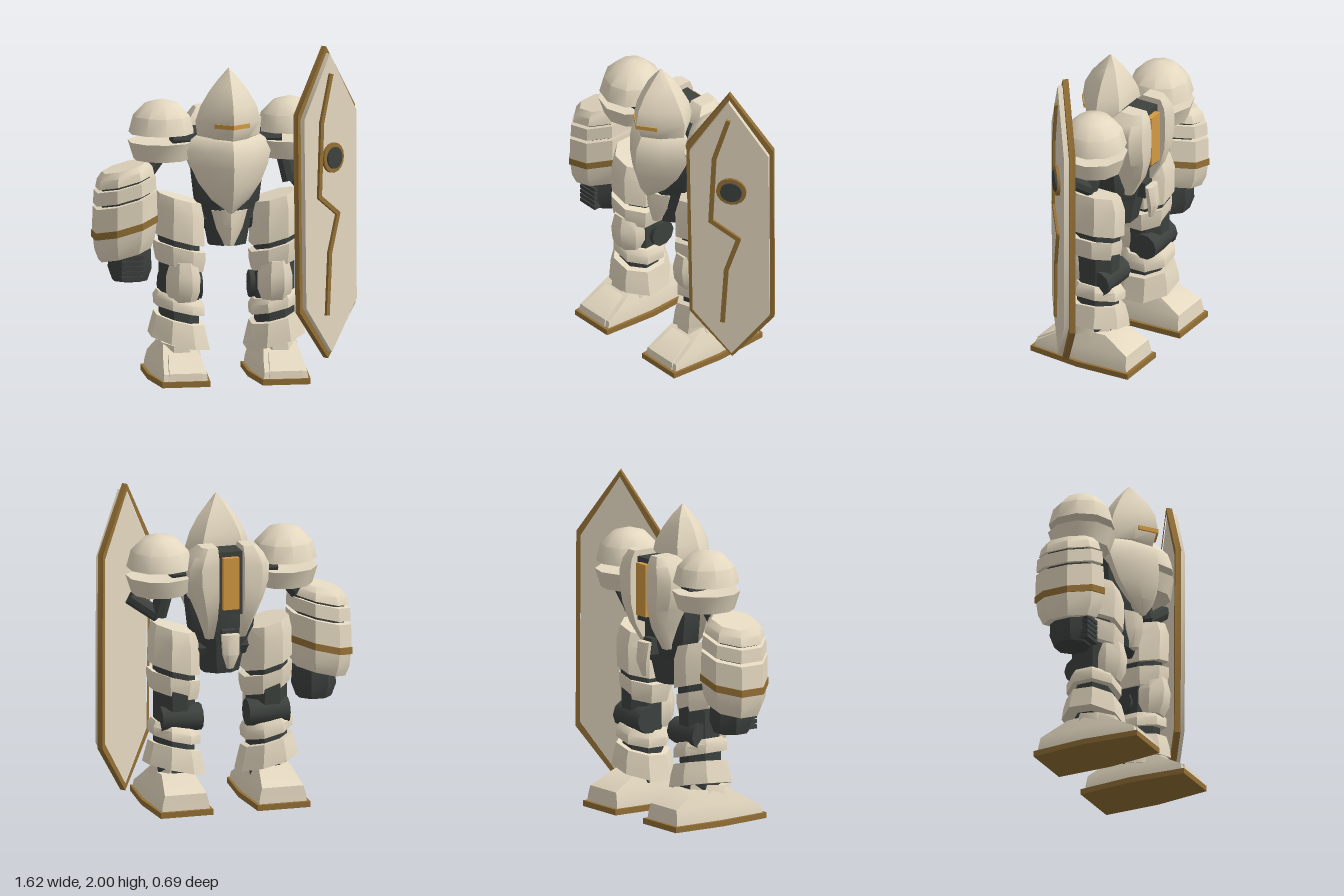
import * as THREE from 'three';
import { toCreasedNormals } from 'three/addons/utils/BufferGeometryUtils.js';

const paint = (color) => new THREE.MeshStandardMaterial({ color });
const IVORY = paint(0xe4d8c0), DARK = paint(0x3d423f), GOLD = paint(0x947036), AMBER = paint(0xd29a42);
const CREASE = 0.66;

function add(parent, name, geometry, material) {
  const mesh = new THREE.Mesh(toCreasedNormals(geometry, CREASE), material);
  mesh.name = name;
  parent.add(mesh);
  return mesh;
}

// Skin over a stack of rings, each listed from +z round towards +x, bottom to top
function loft(rings) {
  const pos = [], n = rings[0].length;
  const tri = (...pts) => pts.forEach((p) => pos.push(...p));
  const centre = (r) => [0, 1, 2].map((k) => r.reduce((s, p) => s + p[k], 0) / n);
  const low = rings[0], high = rings[rings.length - 1], cl = centre(low), ch = centre(high);
  for (let j = 0; j < n; j++) {
    const k = (j + 1) % n;
    for (let i = 0; i < rings.length - 1; i++) {
      const a = rings[i], b = rings[i + 1];
      tri(a[j], a[k], b[k]);
      tri(a[j], b[k], b[j]);
    }
    tri(cl, low[k], low[j]);
    tri(ch, high[j], high[k]);
  }
  const g = new THREE.BufferGeometry();
  g.setAttribute('position', new THREE.Float32BufferAttribute(pos, 3));
  return g;
}

// Eight-sided shell; rows are [y, half width, half depth, z shift], tilts slope it in x and z
function octagon(rows, cx, cz, tilt = 0, tiltZ = 0) {
  return loft(rows.map(([y, rx, rz, dz = 0]) => Array.from({ length: 8 }, (_, i) => {
    const a = (i + 0.5) * Math.PI / 4, k = 1 / Math.cos(Math.PI / 8);
    const x = Math.sin(a) * rx * k, z = Math.cos(a) * rz * k;
    return [cx + x, y + x * tilt + z * tiltZ, cz + dz + z];
  })));
}

// Prow-shaped shell; rows are [y, half width, front z, side z, back z]
const prow = (rows) => loft(rows.map(([y, w, zf, zs, zb]) => {
  const zm = zs + 0.6 * (zf - zs);
  return [[0, y, zf], [0.58 * w, y, zm], [w, y, zs], [0.65 * w, y, zb],
    [-0.65 * w, y, zb], [-w, y, zs], [-0.58 * w, y, zm]];
}));

// Six-sided foot shell; rows are [y, front, middle, back half widths, front z, back z]
const footShell = (rows, cx) => loft(rows.map(([y, wf, wm, wb, zf, zb]) => {
  const zm = (zf + zb) / 2;
  return [[wf, zf], [wm, zm], [wb, zb], [-wb, zb], [-wm, zm], [-wf, zf]].map(([x, z]) => [cx + x, y, z]);
}));

const box = (w, h, d, x, y, z) => new THREE.BoxGeometry(w, h, d).translate(x, y, z);

function rod(a, b, r, sides = 8) {
  const p = new THREE.Vector3(...a), q = new THREE.Vector3(...b), d = q.clone().sub(p);
  const turn = new THREE.Quaternion().setFromUnitVectors(new THREE.Vector3(0, 1, 0), d.clone().normalize());
  return new THREE.CylinderGeometry(r, r, d.length(), sides).applyQuaternion(turn)
    .translate(...p.add(q).multiplyScalar(0.5).toArray());
}

// Mirrored copy of a group of parts across x = 0
function mirrored(group, name) {
  const out = new THREE.Group();
  out.name = name;
  for (const mesh of group.children) {
    const g = new THREE.BufferGeometry(), p = mesh.geometry.attributes.position, pos = [];
    for (let i = 0; i < p.count; i += 3)
      for (const j of [i, i + 2, i + 1]) pos.push(-p.getX(j), p.getY(j), p.getZ(j));
    g.setAttribute('position', new THREE.Float32BufferAttribute(pos, 3));
    add(out, mesh.name, g, mesh.material);
  }
  return out;
}

function makeLeg() {
  const leg = new THREE.Group(), x = 0.29;
  leg.name = 'leftLeg';
  add(leg, 'legCore', octagon([[0.15, 0.115, 0.115], [0.5, 0.115, 0.12], [0.7, 0.115, 0.125], [0.95, 0.12, 0.135]], x, -0.03), DARK);
  add(leg, 'thighArmor', octagon([[0.845, 0.145, 0.16], [1.02, 0.14, 0.165], [1.1, 0.125, 0.14]], x, -0.02, 0.28), IVORY);
  add(leg, 'lowerThighArmor', octagon([[0.685, 0.135, 0.14], [0.75, 0.148, 0.152], [0.805, 0.15, 0.152]], x, -0.01, 0.27), IVORY);
  add(leg, 'kneeCap', octagon([[0.48, 0.08, 0.08], [0.54, 0.1, 0.11], [0.63, 0.1, 0.12], [0.72, 0.08, 0.1]], x - 0.01, 0.05), IVORY);
  add(leg, 'kneeJoint', rod([0.145, 0.55, -0.09], [0.4, 0.55, -0.09], 0.083, 10), DARK);
  add(leg, 'upperShinArmor', octagon([[0.415, 0.145, 0.155], [0.47, 0.148, 0.155], [0.505, 0.13, 0.13]], x, -0.03, 0.25), IVORY);
  add(leg, 'lowerShinArmor', octagon([[0.225, 0.178, 0.18], [0.3, 0.16, 0.172], [0.365, 0.145, 0.155]], x, -0.03, 0.25, -0.08), IVORY);
  add(leg, 'bootCuff', octagon([[0.15, 0.13, 0.15], [0.24, 0.11, 0.14]], x + 0.01, 0.0, 0, -0.15), IVORY);
  add(leg, 'boot', footShell([[0.03, 0.135, 0.16, 0.15, 0.325, -0.325], [0.075, 0.13, 0.155, 0.145, 0.315, -0.32],
    [0.13, 0.12, 0.14, 0.13, 0.22, -0.315], [0.22, 0.1, 0.11, 0.1, 0.08, -0.15]], 0.305), IVORY);
  add(leg, 'toePlate', footShell([[0.03, 0.105, 0.11, 0.1, 0.33, 0.1], [0.08, 0.1, 0.105, 0.1, 0.323, 0.08],
    [0.17, 0.08, 0.085, 0.08, 0.17, 0.05]], 0.305), IVORY);
  add(leg, 'sole', footShell([[0, 0.145, 0.18, 0.165, 0.345, -0.345], [0.035, 0.145, 0.18, 0.165, 0.345, -0.345]], 0.305), GOLD);
  return leg;
}

function makeShoulder() {
  const g = new THREE.Group();
  g.name = 'leftShoulder';
  const lathe = (pts) => new THREE.LatheGeometry(pts.map((p) => new THREE.Vector2(...p)), 10).translate(0.39, 0, -0.06);
  const dome = [[0, 1.49], [0.2, 1.49]];
  for (let i = 1; i <= 3; i++) {
    const a = i * Math.PI / 6;
    dome.push([0.2 * Math.cos(a), 1.49 + 0.205 * Math.sin(a)]);
  }
  add(g, 'shoulderDome', lathe(dome), IVORY);
  add(g, 'shoulderCup', lathe([[0, 1.33], [0.17, 1.33], [0.205, 1.44], [0.185, 1.44], [0, 1.42]]), IVORY);
  add(g, 'shoulderAxle', rod([0.1, 1.45, -0.06], [0.33, 1.45, -0.06], 0.085), DARK);
  return g;
}

function makeRightArm() {
  const arm = new THREE.Group(), x = -0.62, z = -0.02, tilt = 0.27;
  arm.name = 'rightArm';
  add(arm, 'upperArm', rod([-0.4, 1.38, -0.06], [-0.56, 1.17, -0.03], 0.06), DARK);
  add(arm, 'forearmCore', octagon([[0.8, 0.14, 0.14], [1.24, 0.145, 0.15]], x, z, tilt), DARK);
  add(arm, 'forearmCap', octagon([[1.21, 0.168, 0.172], [1.26, 0.158, 0.16], [1.295, 0.13, 0.13]], x, z, tilt), IVORY);
  add(arm, 'upperForearmArmor', octagon([[1.115, 0.18, 0.187], [1.195, 0.176, 0.183]], x, z, tilt), IVORY);
  add(arm, 'middleForearmArmor', octagon([[0.955, 0.186, 0.192], [1.095, 0.182, 0.19]], x, z, tilt), IVORY);
  add(arm, 'forearmTrim', octagon([[0.912, 0.19, 0.196], [0.955, 0.19, 0.196]], x, z, tilt), GOLD);
  add(arm, 'lowerForearmArmor', octagon([[0.765, 0.15, 0.15], [0.83, 0.172, 0.178], [0.912, 0.182, 0.188]], x, z, tilt), IVORY);
  add(arm, 'fist', octagon([[0.605, 0.1, 0.1], [0.68, 0.125, 0.125], [0.8, 0.12, 0.12]], -0.59, z), DARK);
  for (let i = 0; i < 5; i++)
    add(arm, 'finger', box(0.13, 0.024, 0.06, -0.595, 0.63 + i * 0.032, 0.09), DARK);
  return arm;
}

function makeShield() {
  const g = new THREE.Group();
  g.name = 'shield';
  const outline = (Type, s) => {
    const p = new Type();
    p.setFromPoints([[0, 0.95], [0.265, 0.56], [0.257, -0.64], [0, -0.95], [-0.257, -0.64], [-0.265, 0.56]]
      .map(([x, y]) => new THREE.Vector2(x * s, y * (1 - (1 - s) * 0.45))));
    p.closePath();
    return p;
  };
  const slab = (shape, depth, z) => new THREE.ExtrudeGeometry(shape, { depth, bevelEnabled: false }).translate(0, 0, z);
  const rim = outline(THREE.Shape, 1);
  rim.holes.push(outline(THREE.Path, 0.9));
  add(g, 'shieldRim', slab(rim, 0.036, -0.018), GOLD);
  add(g, 'shieldPlate', slab(outline(THREE.Shape, 0.905), 0.06, -0.012), IVORY);
  // Zigzag trim bar on the face
  const zig = [[-0.003, 0.78], [-0.09, 0.5], [-0.115, 0.05], [0.053, -0.07], [-0.024, -0.3], [-0.05, -0.67]];
  for (let i = 0; i < zig.length - 1; i++) {
    const [a, b] = [zig[i], zig[i + 1]], dx = b[0] - a[0], dy = b[1] - a[1];
    add(g, 'zigzagTrim', box(0.028, Math.hypot(dx, dy) + 0.015, 0.025, 0, 0, 0).rotateZ(Math.atan2(-dx, dy))
      .translate((a[0] + b[0]) / 2, (a[1] + b[1]) / 2, 0.052), GOLD);
  }
  const disc = (r, d) => new THREE.CylinderGeometry(r, r, d, 16).rotateX(Math.PI / 2).translate(0.012, 0.275, 0.045 + d / 2);
  add(g, 'bossRing', disc(0.092, 0.02), GOLD);
  add(g, 'boss', disc(0.066, 0.03), DARK);
  g.position.set(0.592, 1.05, 0.014);
  g.rotation.set(0, THREE.MathUtils.degToRad(40), 0.01);
  return g;
}

export function createModel() {
  const model = new THREE.Group();

  // Torso and pelvis
  add(model, 'torsoCore', octagon([[0.98, 0.14, 0.12], [1.08, 0.19, 0.14], [1.25, 0.21, 0.14], [1.47, 0.19, 0.12]], 0, -0.03), DARK);
  add(model, 'pelvis', octagon([[0.81, 0.11, 0.09], [0.95, 0.135, 0.12], [1.05, 0.16, 0.13]], 0, -0.02), DARK);
  add(model, 'hipAxle', rod([-0.27, 0.97, -0.03], [0.27, 0.97, -0.03], 0.07), DARK);
  add(model, 'chestArmor', prow([[1.02, 0.012, 0.17, 0.15, 0.1], [1.1, 0.115, 0.22, 0.12, 0.04], [1.2, 0.19, 0.25, 0.09, -0.02],
    [1.3, 0.235, 0.26, 0.07, -0.05], [1.39, 0.258, 0.25, 0.05, -0.06], [1.46, 0.225, 0.215, 0.04, -0.06], [1.49, 0.18, 0.17, 0.03, -0.05]]), IVORY);
  add(model, 'frontSkirt', prow([[0.815, 0.03, 0.12, 0.08, 0], [0.92, 0.08, 0.15, 0.08, 0], [1.03, 0.11, 0.14, 0.08, 0]]), IVORY);
  add(model, 'rearSkirt', octagon([[0.87, 0.02, 0.015], [0.96, 0.05, 0.03, -0.015], [1.08, 0.055, 0.025]], 0, -0.23), IVORY);
  add(model, 'rearSkirtMount', box(0.08, 0.1, 0.12, 0, 1.05, -0.15), DARK);

  // Helmet and visor
  add(model, 'helmet', prow([[1.43, 0.12, 0.18, 0.03, -0.04], [1.48, 0.19, 0.22, 0.04, -0.07], [1.57, 0.2, 0.25, 0.04, -0.08],
    [1.66, 0.17, 0.235, 0.045, -0.07], [1.75, 0.118, 0.185, 0.05, -0.035], [1.82, 0.064, 0.125, 0.05, 0.0], [1.89, 0.003, 0.06, 0.055, 0.05]]), IVORY);
  const visor = [[0, 0.255], [0.108, 0.18], [0.095, 0.16], [0, 0.225], [-0.095, 0.16], [-0.108, 0.18]];
  add(model, 'visor', loft([1.542, 1.568].map((y) => visor.map(([x, z]) => [x, y, z]))), AMBER);

  // Backpack; pod rows are [y, outer x, front z, back z], with a flat inner side
  add(model, 'backpackCore', box(0.17, 0.39, 0.18, 0, 1.395, -0.135), DARK);
  add(model, 'backpackPanel', box(0.1, 0.32, 0.04, 0, 1.4, -0.24), AMBER);
  const pod = new THREE.Group();
  pod.name = 'leftBackpackPod';
  add(pod, 'backpackPod', loft([[1.04, 0.125, -0.1, -0.16], [1.18, 0.17, -0.06, -0.24], [1.3, 0.215, -0.04, -0.273],
    [1.4, 0.245, -0.04, -0.278], [1.5, 0.25, -0.04, -0.278], [1.57, 0.215, -0.06, -0.27], [1.625, 0.17, -0.12, -0.245]]
    .map(([y, xo, zf, zb]) => [[0.08, zf], [xo, zf], [xo, zb * 0.75 + zf * 0.25], [xo * 0.6 + 0.04, zb], [0.08, zb]]
      .map(([x, z]) => [x, y, z]))), IVORY);

  // Mirrored pairs
  const leg = makeLeg(), shoulder = makeShoulder();
  model.add(pod, mirrored(pod, 'rightBackpackPod'), leg, mirrored(leg, 'rightLeg'),
    shoulder, mirrored(shoulder, 'rightShoulder'));

  // Arms and shield
  model.add(makeRightArm());
  const leftArm = new THREE.Group();
  leftArm.name = 'leftArm';
  add(leftArm, 'upperArm', rod([0.35, 1.36, -0.06], [0.39, 1.18, -0.03], 0.052), DARK);
  add(leftArm, 'shieldGrip', rod([0.39, 1.18, -0.03], [0.56, 1.3, 0], 0.045), DARK);
  model.add(leftArm, makeShield());
  return model;
}
